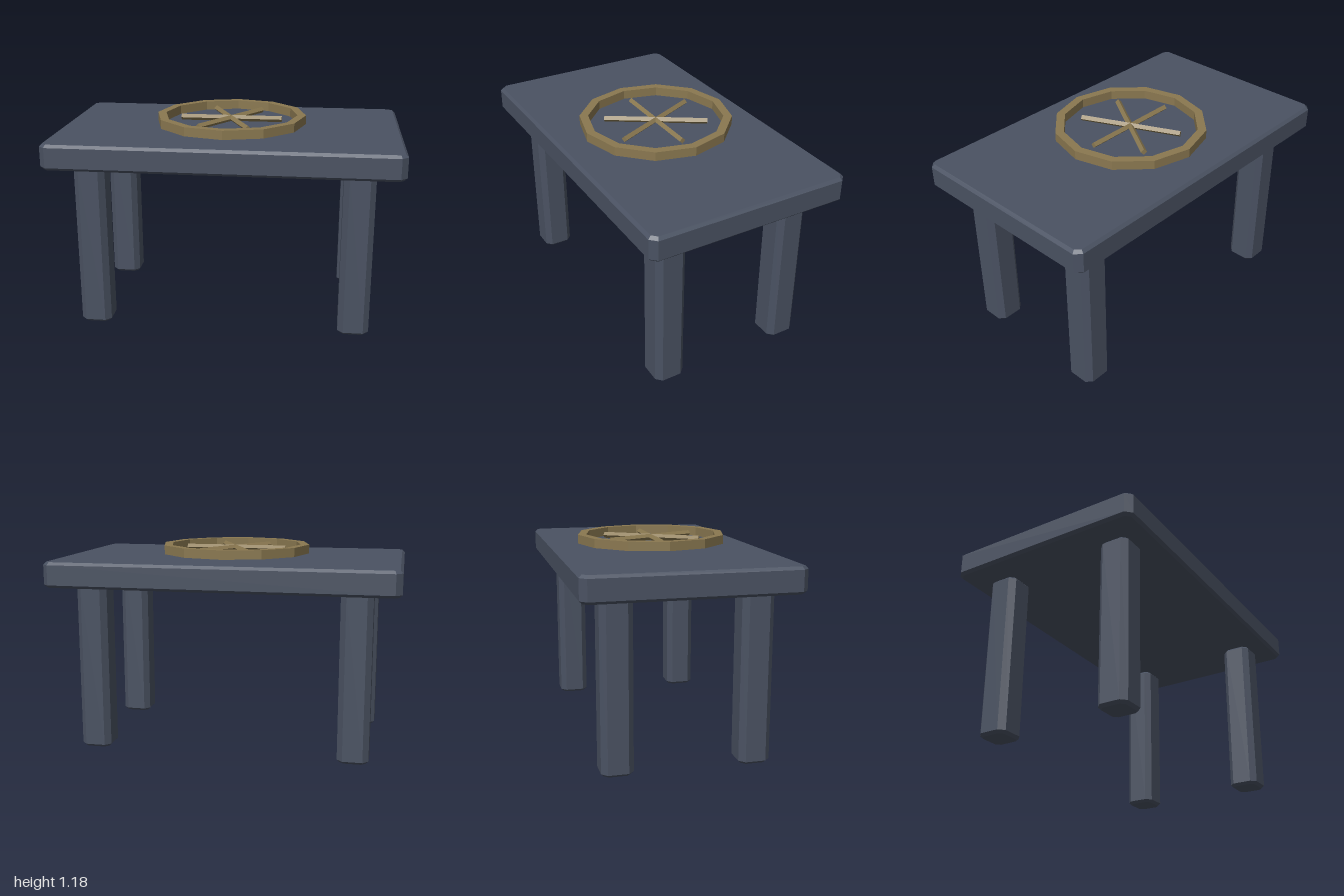
import * as THREE from 'three';

const slate = new THREE.MeshStandardMaterial({ color: 0x4a5262, flatShading: true });
const brass = new THREE.MeshStandardMaterial({ color: 0x8a7850, flatShading: true });

// Upright block with cut corners and a single bevel on top and bottom rims
function chamferedBlock(width, height, depth, cut, bevel) {
  const x = width / 2, z = depth / 2;
  const outline = new THREE.Shape([
    [x - cut, -z], [x, -z + cut], [x, z - cut], [x - cut, z],
    [-x + cut, z], [-x, z - cut], [-x, -z + cut], [-x + cut, -z],
  ].map(([a, b]) => new THREE.Vector2(a, b)));
  const geometry = new THREE.ExtrudeGeometry(outline, {
    depth: height - 2 * bevel,
    bevelEnabled: true,
    bevelSegments: 1,
    bevelThickness: bevel,
    bevelSize: bevel,
    bevelOffset: -bevel,
  });
  geometry.translate(0, 0, bevel);
  geometry.rotateX(-Math.PI / 2);
  return geometry;
}

function addMesh(parent, name, geometry, material, x = 0, y = 0, z = 0) {
  const mesh = new THREE.Mesh(geometry, material);
  mesh.name = name;
  mesh.position.set(x, y, z);
  parent.add(mesh);
  return mesh;
}

export function createModel() {
  const model = new THREE.Group();
  model.name = 'table';

  // Table top
  addMesh(model, 'tableTop', chamferedBlock(2, 0.146, 1.186, 0.036, 0.016), slate, 0, 0.967, 0);

  // Four legs
  const legGeometry = chamferedBlock(0.178, 0.967, 0.178, 0.032, 0.016);
  for (const [end, sz] of [['front', 1], ['back', -1]]) {
    for (const [side, sx] of [['Left', 1], ['Right', -1]]) {
      addMesh(model, `${end}${side}Leg`, legGeometry, slate, sx * 0.76, 0, sz * 0.383);
    }
  }

  // Wheel emblem floating just above the top
  const emblem = new THREE.Group();
  emblem.name = 'wheelEmblem';
  emblem.position.y = 1.159;
  model.add(emblem);

  // Twelve-sided ring of rectangular section
  const section = [[0.443, -0.026], [0.443, 0.026], [0.393, 0.026], [0.393, -0.026], [0.443, -0.026]]
    .map(([r, y]) => new THREE.Vector2(r, y));
  addMesh(emblem, 'ring', new THREE.LatheGeometry(section, 12), brass);

  // Three four-sided bars crossing at the centre, one radian apart
  const barGeometry = new THREE.CylinderGeometry(0.018, 0.018, 0.6, 4).rotateZ(Math.PI / 2);
  for (let i = 0; i < 3; i++) {
    addMesh(emblem, `crossBar${i + 1}`, barGeometry, brass).rotation.y = i;
  }

  return model;
}
